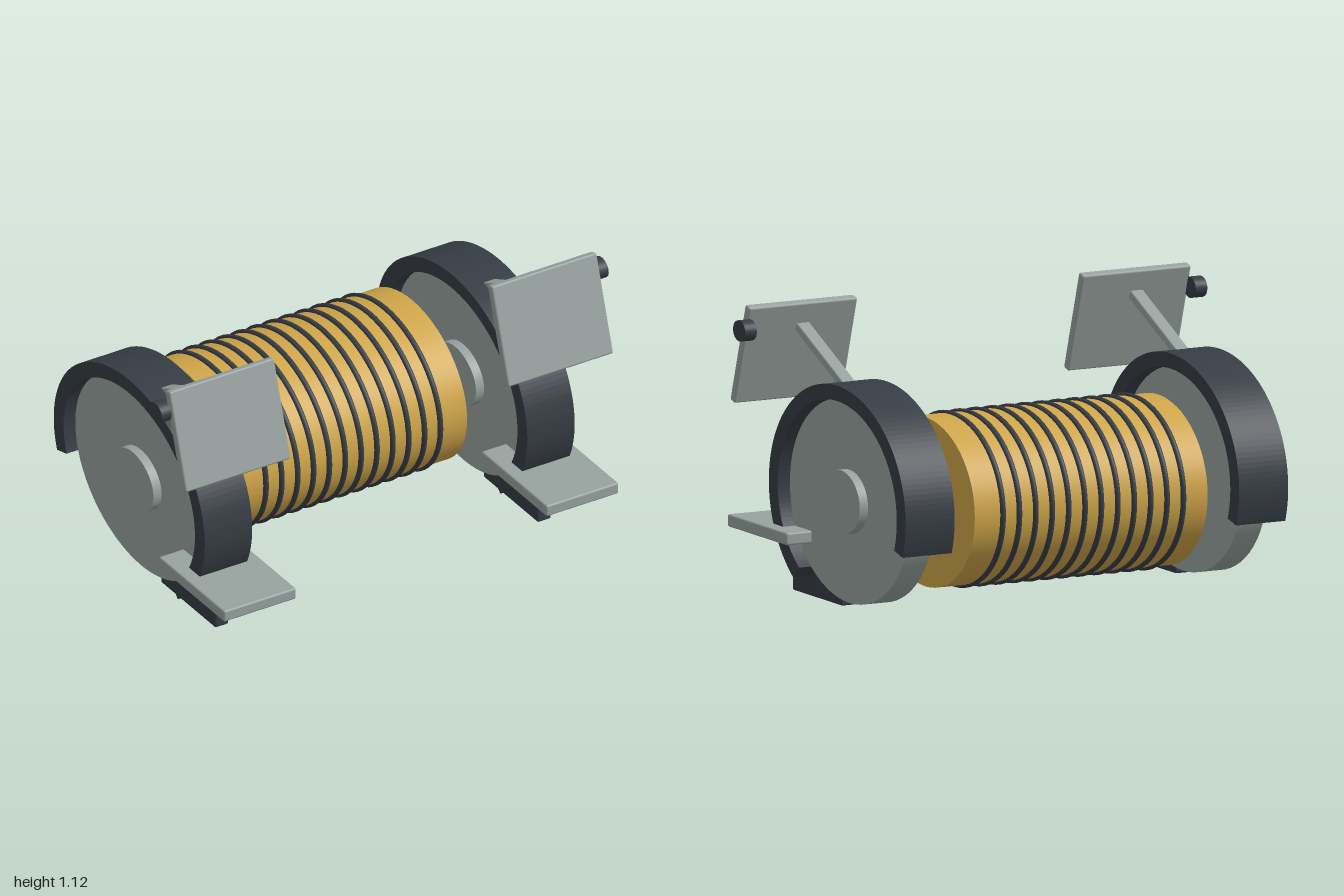
import * as THREE from 'three';
import { RoundedBoxGeometry } from 'three/addons/geometries/RoundedBoxGeometry.js';

const SQUASH = 0.83; // every round part is flattened in height

function material(name, color, side = THREE.FrontSide) {
  const m = new THREE.MeshStandardMaterial({ color, side });
  m.name = name;
  return m;
}

function add(parent, name, geometry, mat, x = 0, y = 0, z = 0) {
  const mesh = new THREE.Mesh(geometry, mat);
  mesh.name = name;
  mesh.position.set(x, y, z);
  parent.add(mesh);
  return mesh;
}

// Squashed drum lying along x
function drum(radius, width, segments = 64) {
  return new THREE.CylinderGeometry(radius, radius, width, segments)
    .rotateZ(Math.PI / 2).scale(1, SQUASH, 1);
}

// Curved band around the wheel, open at the bottom and rear
function fenderGeometry(inner, outer, width) {
  const from = THREE.MathUtils.degToRad(-50);
  const to = THREE.MathUtils.degToRad(197);
  const shape = new THREE.Shape();
  shape.absarc(0, 0, outer, from, to, false);
  shape.absarc(0, 0, inner, to, from, true);
  shape.closePath();
  return new THREE.ExtrudeGeometry(shape, { depth: width, bevelEnabled: false, curveSegments: 48 })
    .translate(0, 0, -width / 2)
    .rotateY(-Math.PI / 2)
    .scale(1, SQUASH, 1);
}

export function createModel() {
  const model = new THREE.Group();
  model.name = 'rollerMachine';
  const grey = material('pale grey metal', 0x98a3a0);
  const dark = material('dark slate', 0x373d45);
  const gold = material('gold', 0xd0a649);

  // Central barrel wrapped with rings
  const barrel = new THREE.Group();
  barrel.name = 'barrel';
  barrel.position.set(0, 0.415, -0.217);
  model.add(barrel);
  add(barrel, 'barrelBody', drum(0.394, 1.008), gold);
  const ring = new THREE.TorusGeometry(0.396, 0.0115, 8, 64)
    .rotateY(Math.PI / 2).scale(1, SQUASH, 1);
  for (let i = 0; i < 12; i++) add(barrel, 'barrelRing', ring, dark, -0.398 + i * 0.071);

  // Matching wheel assemblies
  for (const side of [-1, 1]) {
    const unit = new THREE.Group();
    unit.name = side > 0 ? 'leftWheelUnit' : 'rightWheelUnit';
    unit.position.x = side * 0.722;
    model.add(unit);

    // Wheel, hub and fender
    add(unit, 'wheelDisc', drum(0.473, 0.107), grey, 0, 0.423, -0.113);
    add(unit, 'hub', drum(0.148, 0.18), grey, 0, 0.423, -0.113);
    add(unit, 'fender', fenderGeometry(0.472, 0.543, 0.212), dark, 0, 0.423, -0.113);

    // Foot support and plate
    add(unit, 'footSupport', new RoundedBoxGeometry(0.06, 0.225, 0.393, 2, 0.008), dark, 0, 0.1125, 0.187);
    add(unit, 'footPlate', new RoundedBoxGeometry(0.324, 0.048, 0.472, 2, 0.008), grey, 0, 0.237, 0.423);

    // Sloping arm holding the tilted panel
    const arm = add(unit, 'panelArm', new RoundedBoxGeometry(0.056, 0.033, 0.43, 2, 0.006), grey, 0, 0.931, 0.167);
    arm.rotation.x = -THREE.MathUtils.degToRad(25);
    const panel = add(unit, 'panel', new RoundedBoxGeometry(0.47, 0.405, 0.036, 2, 0.008), grey, 0, 0.922, 0.426);
    panel.rotation.x = -THREE.MathUtils.degToRad(17.5);

    // Knob at the outer edge of the panel
    add(unit, 'panelKnob', drum(0.049, 0.05, 32), dark, side * 0.253, 1.027, 0.35);
  }
  return model;
}
